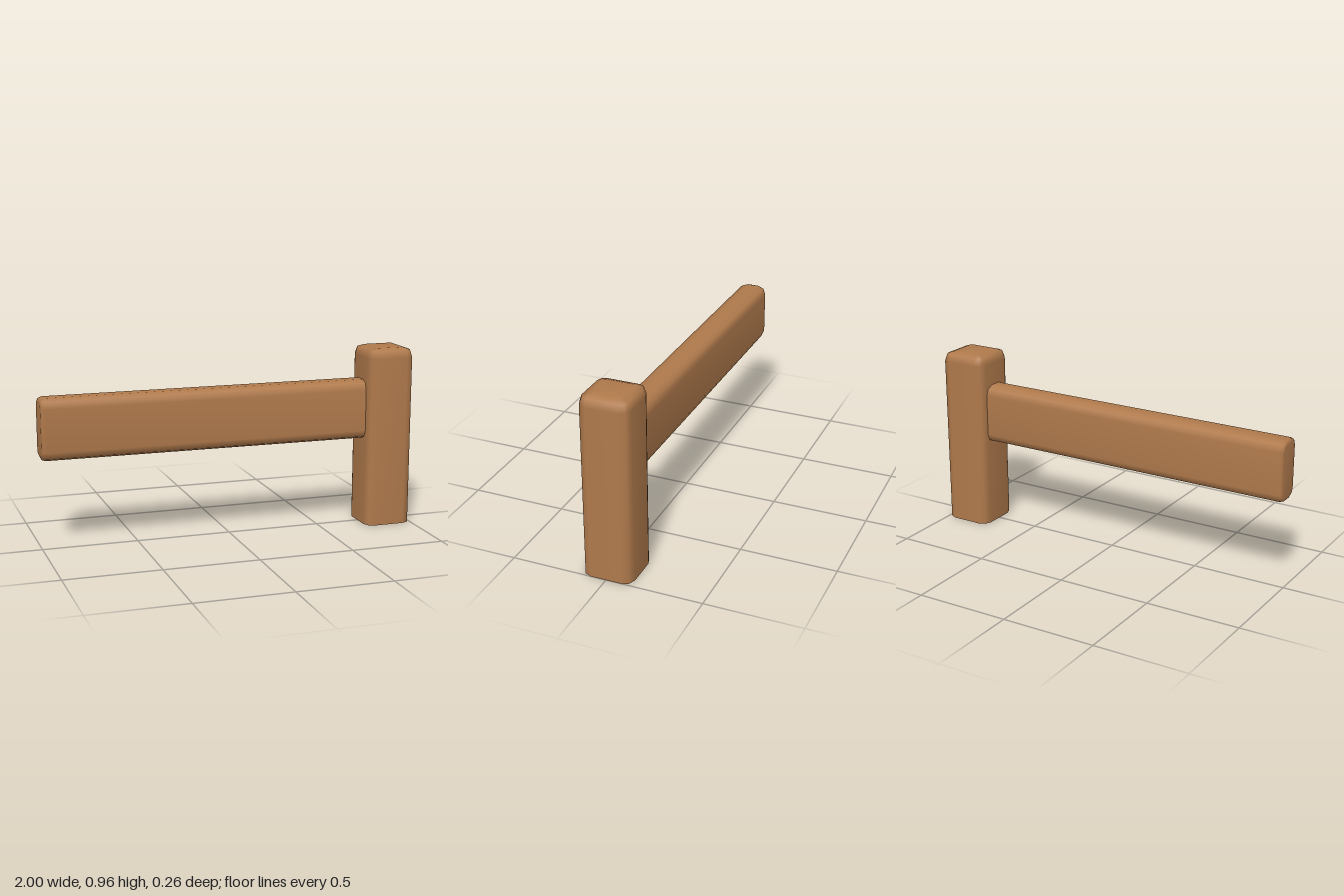
import * as THREE from 'three';

// One rounded-rectangle outline, counter-clockwise, two facets per corner
function outline(width, height, radius, inset) {
  const r = Math.max(radius - inset, 0.006);
  const cx = width / 2 - inset - r, cy = height / 2 - inset - r;
  const points = [];
  [[1, 1], [-1, 1], [-1, -1], [1, -1]].forEach(([sx, sy], corner) => {
    for (let k = 0; k <= 2; k++) {
      const a = (corner + k / 2) * Math.PI / 2;
      points.push([sx * cx + r * Math.cos(a), sy * cy + r * Math.sin(a)]);
    }
  });
  return points;
}

// Bar along +z, open at its start and closed by a flat cap at its far end.
// Each section is [distance, inset].
function roundedBar(width, height, radius, sections) {
  const positions = [], index = [];
  let n = 0;
  sections.forEach(([z, inset], s) => {
    const ring = outline(width, height, radius, inset);
    n = ring.length;
    ring.forEach(([x, y]) => positions.push(x, y, z));
    if (s === 0) return;
    for (let i = 0; i < n; i++) {
      const a = (s - 1) * n + i, b = (s - 1) * n + (i + 1) % n;
      index.push(a, b, b + n, a, b + n, a + n);
    }
  });
  // End cap
  const last = (sections.length - 1) * n;
  positions.push(0, 0, sections[sections.length - 1][0]);
  for (let i = 0; i < n; i++) index.push(last + i, last + (i + 1) % n, last + n);

  const geometry = new THREE.BufferGeometry();
  geometry.setAttribute('position', new THREE.Float32BufferAttribute(positions, 3));
  geometry.setIndex(index);
  geometry.computeVertexNormals();
  return geometry;
}

export function createModel() {
  const wood = new THREE.MeshStandardMaterial({ color: 0xb07a4c, side: THREE.DoubleSide });
  wood.name = 'wood';
  const model = new THREE.Group();
  model.name = 'fenceSection';

  // Upright post, hollow and open underneath
  const postGeometry = roundedBar(0.26, 0.26, 0.05,
    [[0, 0], [0.91, 0], [0.948, 0.013], [0.961, 0.05]]);
  postGeometry.rotateX(-Math.PI / 2);
  const post = new THREE.Mesh(postGeometry, wood);
  post.name = 'post';
  post.position.x = 0.87;

  // Horizontal rail running out from the post towards -x
  const railGeometry = roundedBar(0.16, 0.32, 0.05,
    [[0, 0], [1.72, 0], [1.738, 0.006], [1.745, 0.022]]);
  railGeometry.rotateY(-Math.PI / 2);
  const rail = new THREE.Mesh(railGeometry, wood);
  rail.name = 'rail';
  rail.position.set(0.745, 0.63, 0);

  model.add(post, rail);
  return model;
}
